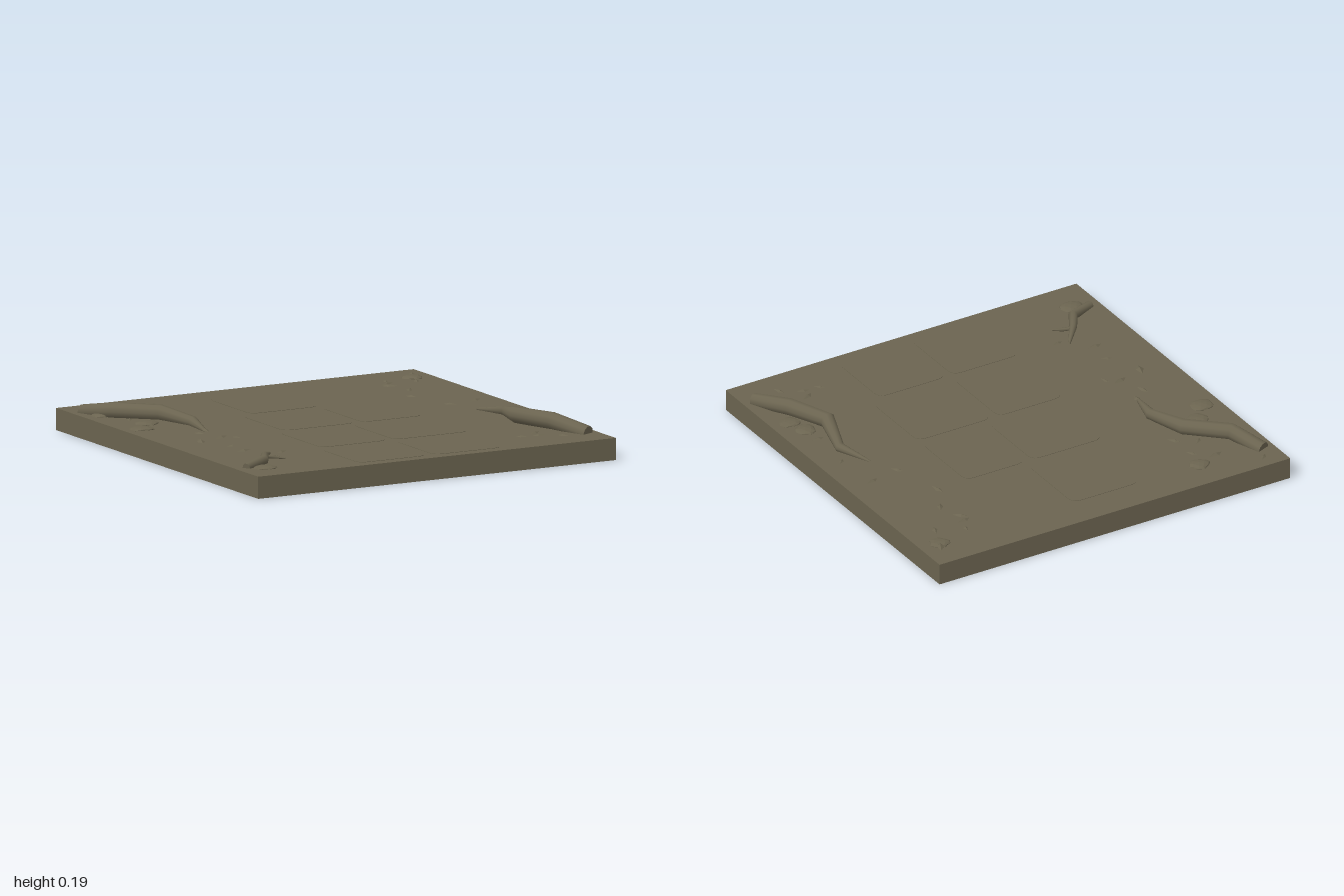
import * as THREE from 'three';

const TOP = 0.11;
const earth = new THREE.MeshStandardMaterial({ color: 0x6b6450, side: THREE.DoubleSide });
earth.name = 'mossy earth';

function add(parent, geometry, name) {
  const mesh = new THREE.Mesh(geometry, earth);
  mesh.name = name;
  parent.add(mesh);
  return mesh;
}

// Tapered root from stations [x, y, z, radius], with a closed thick end
function rootGeometry(stations, sides = 10) {
  const points = stations.map(([x, y, z]) => new THREE.Vector3(x, y, z));
  const up = new THREE.Vector3(0, 1, 0);
  const pos = [], index = [];
  points.forEach((p, i) => {
    const a = points[Math.max(i - 1, 0)], b = points[Math.min(i + 1, points.length - 1)];
    const dir = b.clone().sub(a).normalize();
    const side = new THREE.Vector3().crossVectors(dir, up).normalize();
    const normal = new THREE.Vector3().crossVectors(side, dir);
    for (let j = 0; j < sides; j++) {
      const t = (j / sides) * Math.PI * 2, r = stations[i][3];
      const v = p.clone().addScaledVector(side, Math.cos(t) * r).addScaledVector(normal, Math.sin(t) * r);
      pos.push(v.x, v.y, v.z);
      if (i > 0) {
        const k = (j + 1) % sides, c = i * sides, d = c - sides;
        index.push(d + j, d + k, c + j, d + k, c + k, c + j);
      }
    }
  });
  // separate cap vertices keep the cut end crisp
  const first = pos.length / 3;
  pos.push(...pos.slice(0, sides * 3));
  for (let j = 1; j < sides - 1; j++) index.push(first, first + j + 1, first + j);
  const g = new THREE.BufferGeometry();
  g.setAttribute('position', new THREE.Float32BufferAttribute(pos, 3));
  g.setIndex(index);
  g.computeVertexNormals();
  return g;
}

// Rounded paving slab, barely proud of the ground
function paverGeometry(w, d, r = 0.05) {
  const x = w / 2, y = d / 2, s = new THREE.Shape();
  s.moveTo(-x + r, -y);
  s.lineTo(x - r, -y);
  s.quadraticCurveTo(x, -y, x, -y + r);
  s.lineTo(x, y - r);
  s.quadraticCurveTo(x, y, x - r, y);
  s.lineTo(-x + r, y);
  s.quadraticCurveTo(-x, y, -x, y - r);
  s.lineTo(-x, -y + r);
  s.quadraticCurveTo(-x, -y, -x + r, -y);
  return new THREE.ExtrudeGeometry(s, { depth: 0.012, bevelEnabled: false, curveSegments: 5 }).rotateX(-Math.PI / 2);
}

// Flattened faceted pebble, varied by a position rule
function pebbleGeometry(seed) {
  const g = new THREE.IcosahedronGeometry(1, 1);
  const p = g.attributes.position;
  for (let i = 0; i < p.count; i++) {
    const x = p.getX(i), y = p.getY(i), z = p.getZ(i);
    const k = 1 + 0.08 * Math.sin(4 * x + seed) + 0.08 * Math.cos(5 * z + 2 * seed);
    p.setXYZ(i, x * k, y, z * k);
  }
  g.computeVertexNormals();
  return g;
}

// Folded leaf: pointed outline with a raised midrib
function leafGeometry() {
  const v = [[-0.5, 0, 0], [-0.1, 0, 0.2], [0.5, 0.04, 0], [-0.1, 0, -0.2], [-0.05, 0.12, 0]];
  const faces = [0, 1, 4, 1, 2, 4, 2, 3, 4, 3, 0, 4];
  const g = new THREE.BufferGeometry();
  g.setAttribute('position', new THREE.Float32BufferAttribute(faces.flatMap(i => v[i]), 3));
  g.computeVertexNormals();
  return g;
}

export function createModel() {
  const model = new THREE.Group();
  model.name = 'forestPathTile';

  add(model, new THREE.BoxGeometry(2, TOP, 2).translate(0, TOP / 2, 0), 'groundSlab');

  // Pavers: x min, x max, z min, z max
  const pavers = new THREE.Group();
  pavers.name = 'pavers';
  [[-0.25, 0.13, -0.82, -0.4], [-0.32, 0.08, -0.36, 0.05], [0.12, 0.46, -0.36, 0.05],
    [-0.37, 0, 0.09, 0.51], [0.04, 0.46, 0.09, 0.51],
    [-0.4, -0.02, 0.55, 0.94], [0.02, 0.4, 0.55, 0.94]].forEach(([a, b, c, d]) => {
    add(pavers, paverGeometry(b - a, d - c), 'paver').position.set((a + b) / 2, TOP - 0.01, (c + d) / 2);
  });
  model.add(pavers);

  // Roots
  add(model, rootGeometry([[-0.935, 0.11, -0.855, 0.037], [-0.865, 0.14, -0.67, 0.042],
    [-0.69, 0.14, -0.51, 0.04], [-0.63, 0.125, -0.3, 0.028], [-0.665, 0.113, -0.11, 0.007]]), 'backRightRoot');
  add(model, rootGeometry([[0.935, 0.112, 0.84, 0.037], [0.85, 0.148, 0.64, 0.043],
    [0.765, 0.15, 0.43, 0.04], [0.83, 0.125, 0.21, 0.025], [0.765, 0.112, 0.04, 0.006]]), 'frontLeftRoot');
  add(model, rootGeometry([[-0.945, 0.112, 0.785, 0.022], [-0.81, 0.127, 0.72, 0.024],
    [-0.75, 0.127, 0.62, 0.019], [-0.66, 0.112, 0.51, 0.006]]), 'frontRightRoot');
  add(model, rootGeometry([[-0.75, 0.122, 0.62, 0.01], [-0.7, 0.118, 0.64, 0.009],
    [-0.66, 0.112, 0.67, 0.003]], 6), 'rootTwig');

  // Pebbles: x, z, radius
  const pebbles = new THREE.Group();
  pebbles.name = 'pebbles';
  [[-0.59, -0.82, 0.055], [-0.91, -0.72, 0.05], [-0.81, -0.44, 0.06], [-0.9, -0.33, 0.058],
    [0.89, -0.82, 0.055], [0.87, 0.47, 0.055], [0.9, 0.565, 0.052], [-0.86, 0.82, 0.058]].forEach(([x, z, r], i) => {
    const pebble = add(pebbles, pebbleGeometry(i * 1.7), 'pebble');
    pebble.position.set(x, TOP, z);
    pebble.scale.set(r, 0.014, r * 0.93);
  });
  model.add(pebbles);

  // Leaves: x, z, heading in degrees, length
  const leaves = new THREE.Group();
  leaves.name = 'leaves';
  const leaf = leafGeometry();
  [[-0.89, -0.93, 45, 0.06], [-0.7, -0.79, 15, 0.09], [-0.61, -0.72, -50, 0.06], [-0.7, -0.63, 45, 0.06],
    [-0.6, -0.57, -45, 0.065], [-0.85, -0.54, 60, 0.06], [-0.66, -0.13, 85, 0.08], [-0.73, -0.06, -70, 0.07],
    [-0.68, 0.07, 20, 0.09], [-0.62, 0.11, -70, 0.05], [-0.82, 0.11, 75, 0.1], [-0.74, 0.29, -15, 0.06],
    [-0.75, 0.42, 10, 0.085], [-0.61, 0.54, 15, 0.065], [0.71, -0.77, 80, 0.055], [0.68, -0.7, 15, 0.08],
    [0.67, -0.65, -40, 0.08], [0.71, -0.53, 60, 0.075], [0.63, -0.37, -75, 0.075], [0.91, -0.86, 65, 0.1],
    [0.85, -0.71, 70, 0.07], [0.7, -0.11, -50, 0.065], [0.86, -0.14, 20, 0.075], [0.89, 0.1, 45, 0.055],
    [0.87, 0.35, 5, 0.07], [0.6, 0.78, -40, 0.06], [0.7, 0.73, 30, 0.08], [0.69, 0.79, -10, 0.07],
    [0.79, 0.85, -65, 0.06]].forEach(([x, z, heading, size]) => {
    const m = add(leaves, leaf, 'leaf');
    m.position.set(x, TOP + 0.006, z);
    m.rotation.y = THREE.MathUtils.degToRad(heading);
    m.scale.setScalar(size);
  });
  model.add(leaves);

  return model;
}
